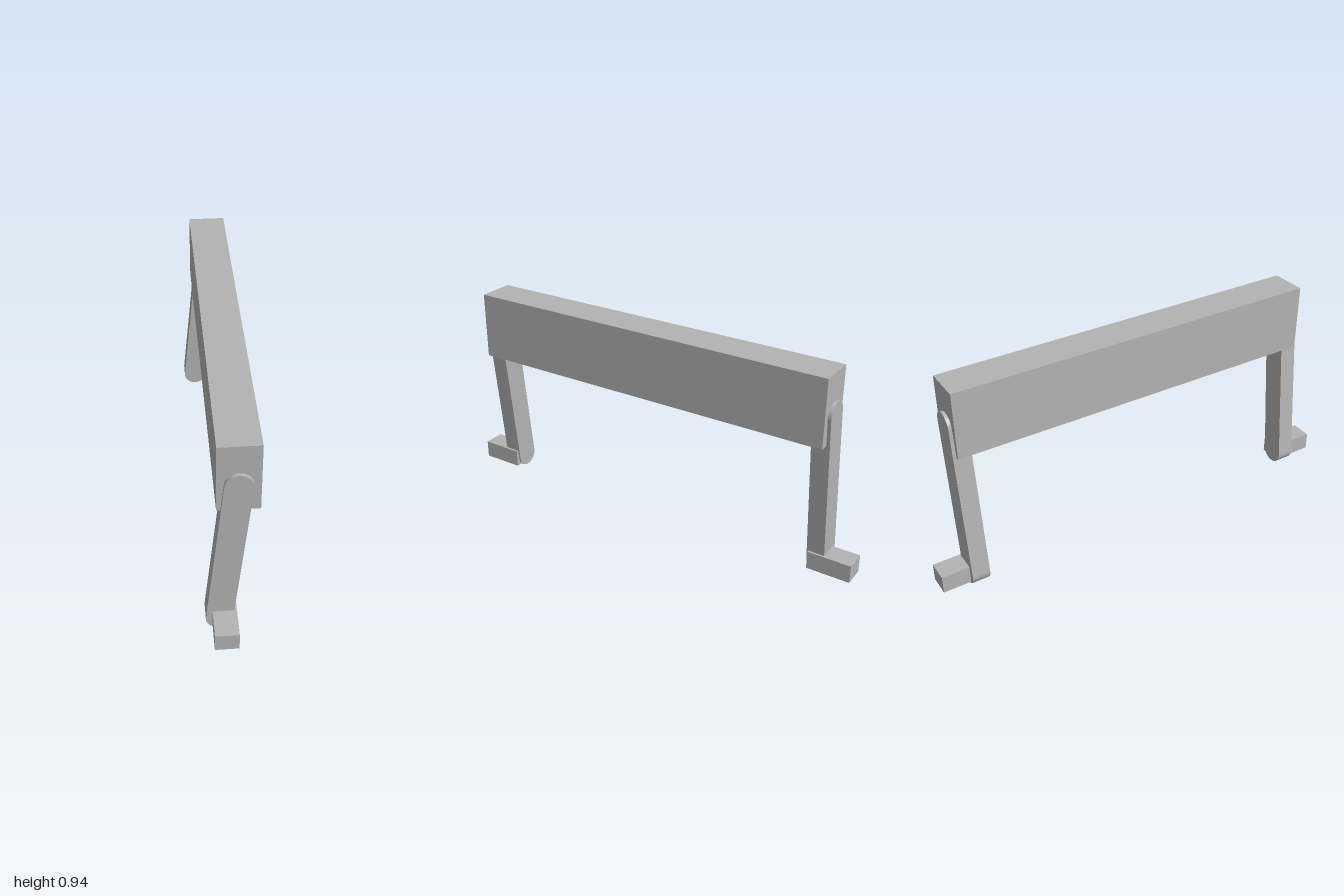
import * as THREE from 'three';

const ARM_RADIUS = 0.055;
const ARM_TOP = new THREE.Vector2(0.02, 0.766);
const ARM_BOTTOM = new THREE.Vector2(-0.05, 0.055);
const ARM_INNER_Z = 0.795;
const ARM_DEPTH = 0.08;

// Slanted bar with a rounded end around each pivot
function armGeometry() {
  const tilt = Math.atan2(ARM_TOP.y - ARM_BOTTOM.y, ARM_TOP.x - ARM_BOTTOM.x);
  const shape = new THREE.Shape();
  shape.absarc(ARM_TOP.x, ARM_TOP.y, ARM_RADIUS, tilt - Math.PI / 2, tilt + Math.PI / 2);
  shape.absarc(ARM_BOTTOM.x, ARM_BOTTOM.y, ARM_RADIUS, tilt + Math.PI / 2, tilt + Math.PI * 1.5);
  shape.closePath();
  return new THREE.ExtrudeGeometry(shape, { depth: ARM_DEPTH, bevelEnabled: false, curveSegments: 24 });
}

export function createModel() {
  const model = new THREE.Group();
  model.name = 'beamFrame';
  const grey = new THREE.MeshStandardMaterial({ color: 0xb3b3b3 });
  grey.name = 'plain grey';

  const add = (name, geometry, x, y, z) => {
    const mesh = new THREE.Mesh(geometry, grey);
    mesh.name = name;
    mesh.position.set(x, y, z);
    model.add(mesh);
  };

  // Long crossbeam
  add('crossbeam', new THREE.BoxGeometry(0.166, 0.302, 1.72), 0.02, 0.794, 0);

  // One arm and one outward pedal block at each end
  const arm = armGeometry();
  const block = new THREE.BoxGeometry(0.098, 0.082, 0.197);
  for (const [end, side] of [['front', 1], ['back', -1]]) {
    add(end + 'Arm', arm, 0, 0, side > 0 ? ARM_INNER_Z : -ARM_INNER_Z - ARM_DEPTH);
    add(end + 'FootBlock', block, -0.029, 0.057, side * 0.9015);
  }
  return model;
}
